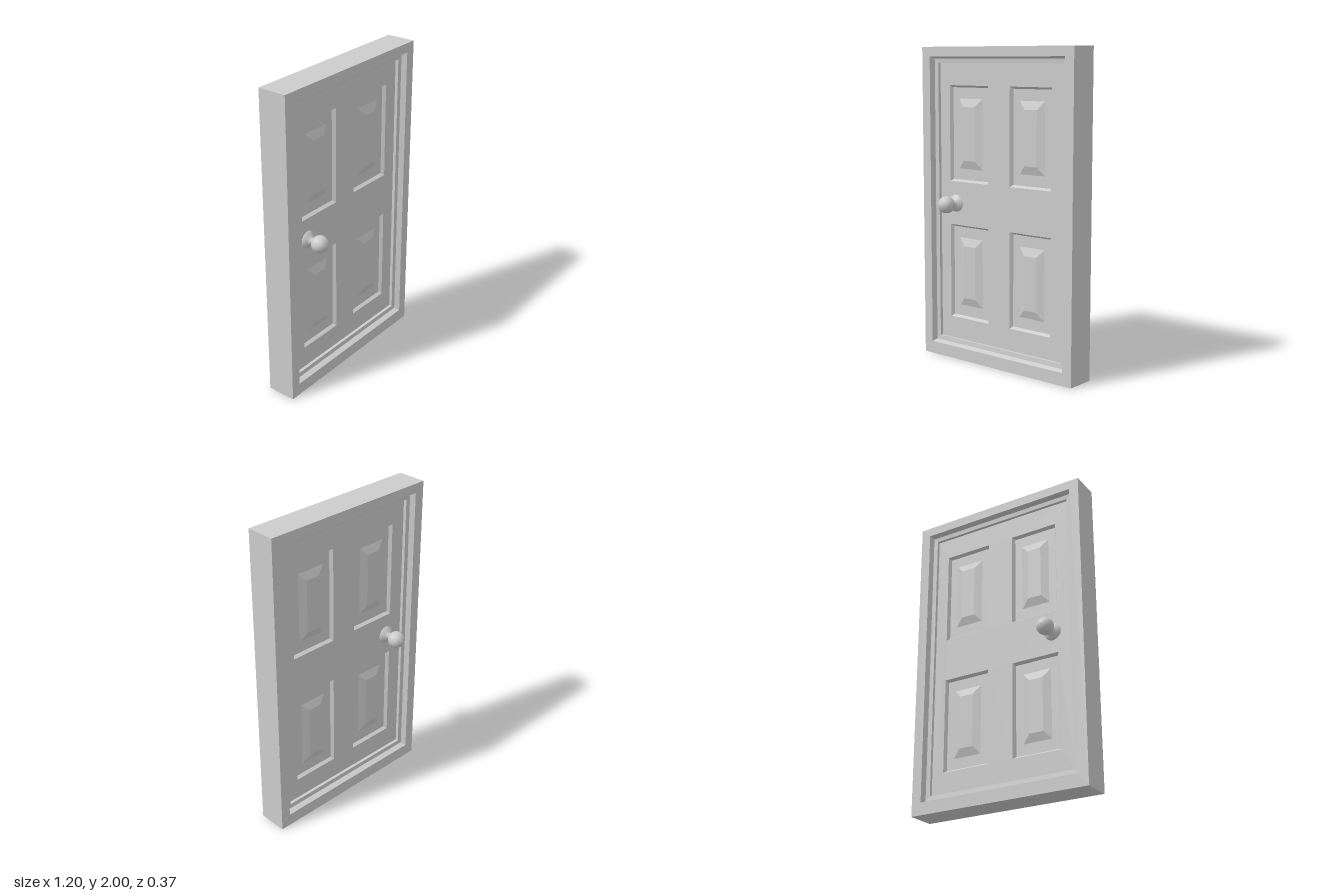
import * as THREE from 'three';

const material = new THREE.MeshStandardMaterial({ color: 0xcccccc });

// Corners of a rectangular ring [x0, x1, y0, y1, z], anticlockwise from the front
const corners = ([x0, x1, y0, y1, z]) => [[x0, y0, z], [x1, y0, z], [x1, y1, z], [x0, y1, z]];

// Skin a run of rectangular rings with flat quads, optionally closing the last one
function ringLoft(rings, cap) {
  const pos = [];
  const quad = (a, b, c, d) => pos.push(...a, ...b, ...c, ...a, ...c, ...d);
  for (let r = 0; r < rings.length - 1; r++) {
    const a = corners(rings[r]), b = corners(rings[r + 1]);
    for (let i = 0; i < 4; i++) {
      const j = (i + 1) % 4;
      quad(a[i], a[j], b[j], b[i]);
    }
  }
  if (cap) quad(...corners(rings[rings.length - 1]));
  const geo = new THREE.BufferGeometry();
  geo.setAttribute('position', new THREE.Float32BufferAttribute(pos, 3));
  geo.computeVertexNormals();
  return geo;
}

function add(parent, name, geo) {
  const mesh = new THREE.Mesh(geo, material);
  mesh.name = name;
  parent.add(mesh);
  return mesh;
}

const inset = ([x0, x1, y0, y1], d, z) => [x0 + d, x1 - d, y0 + d, y1 - d, z];

const DEPTH = 0.094; // half depth of the frame
const FACE = 0.037;  // half thickness of the door leaf
const opening = [-0.535, 0.535, 0.08, 1.94];

// One face of the door leaf with its four raised panels and knob
function doorSide(knobX) {
  const side = new THREE.Group();
  const leaf = inset(opening, 0.04, FACE);
  const shape = new THREE.Shape(corners(leaf).map(([x, y]) => new THREE.Vector2(x, y)));

  for (const x of [-0.255, 0.24]) {
    for (const y of [0.565, 1.455]) {
      const recess = [x - 0.16, x + 0.16, y - 0.305, y + 0.305];
      shape.holes.push(new THREE.Path(
        corners(recess).reverse().map(([px, py]) => new THREE.Vector2(px, py))));
      add(side, 'raisedPanel', ringLoft([
        inset(recess, 0, FACE),
        inset(recess, 0.013, FACE - 0.02),
        [x - 0.096, x + 0.096, y - 0.222, y + 0.222, FACE - 0.02],
        [x - 0.047, x + 0.047, y - 0.17, y + 0.17, FACE - 0.002],
      ], true));
    }
  }
  add(side, 'doorFace', new THREE.ShapeGeometry(shape).translate(0, 0, FACE));

  // Turned knob: rose, neck and ball
  const profile = [
    [0.056, FACE - 0.002], [0.055, 0.045], [0.036, 0.058], [0.021, 0.07], [0.021, 0.085],
    [0.038, 0.092], [0.051, 0.109], [0.055, 0.13], [0.051, 0.151], [0.038, 0.17],
    [0.02, 0.181], [0, 0.185],
  ].map(([r, h]) => new THREE.Vector2(r, h));
  const knob = add(side, 'knob', new THREE.LatheGeometry(profile, 16).rotateX(Math.PI / 2));
  knob.position.set(knobX, 1.01, 0);
  return side;
}

export function createModel() {
  const model = new THREE.Group();
  model.name = 'door';

  // Frame: wraps from the back of the leaf, round the outside, to the front of the leaf
  const moulding = [
    [-0.6, 0.6, 0, 2, DEPTH],
    inset(opening, 0, DEPTH),
    inset(opening, 0.012, 0.06),
    inset(opening, 0.04, 0.057),
    inset(opening, 0.04, FACE),
  ];
  const back = moulding.map(([a, b, c, d, z]) => [a, b, c, d, -z]).reverse();
  add(model, 'frame', ringLoft([...back, ...moulding], false));

  // The back face is the front turned round, with the knob on the same edge
  const front = doorSide(-0.365);
  front.name = 'doorFront';
  const rear = doorSide(0.365);
  rear.name = 'doorBack';
  rear.rotation.y = Math.PI;
  model.add(front, rear);
  return model;
}
